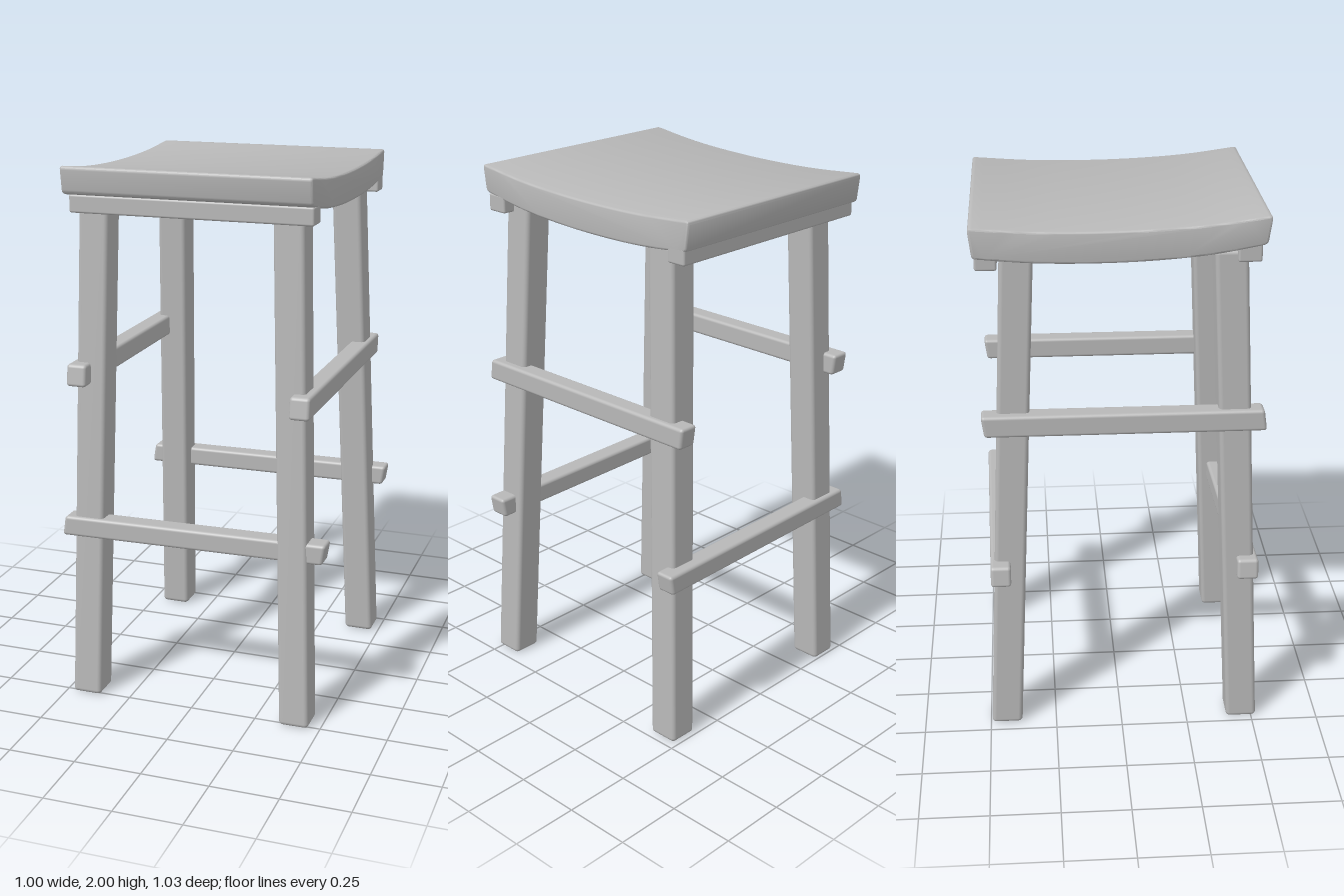
import * as THREE from 'three';
import { RoundedBoxGeometry } from 'three/addons/geometries/RoundedBoxGeometry.js';
import { toCreasedNormals } from 'three/addons/utils/BufferGeometryUtils.js';

const V = (x, y, z) => new THREE.Vector3(x, y, z);

export function createModel() {
  const group = new THREE.Group();
  const grey = new THREE.MeshStandardMaterial({ color: 0xb8b8b8 });
  grey.name = 'plain grey';

  function add(name, geometry) {
    const mesh = new THREE.Mesh(geometry, grey);
    mesh.name = name;
    group.add(mesh);
  }

  // Rounded bar between two points along one main axis; the box is sheared so
  // its section keeps facing the world axes. lean slants the ends of level bars.
  function bar(name, axis, a, b, s, t, lean = 0, radius = 0.012) {
    const span = b.clone().sub(a);
    const length = span[axis];
    const size = { x: [length, s, t], y: [s, length, t], z: [s, t, length] }[axis];
    const basis = { x: V(1, 0, 0), y: V(0, 1, 0), z: V(0, 0, 1) };
    basis[axis] = span.divideScalar(length);
    if (axis !== 'y') basis.y[axis] = lean;
    const shear = new THREE.Matrix4().makeBasis(basis.x, basis.y, basis.z);
    shear.setPosition(a.clone().add(b).multiplyScalar(0.5));
    add(name, new RoundedBoxGeometry(...size, 3, radius).applyMatrix4(shear));
  }

  // Dished seat: curved side profile (z, y) extruded across the width
  const top = new THREE.SplineCurve([[0.485, 1.997], [0.3, 1.973], [0.1, 1.96], [-0.1, 1.956], [-0.3, 1.96], [-0.497, 1.974]]
    .map(p => new THREE.Vector2(...p))).getPoints(24);
  const under = new THREE.SplineCurve([[-0.488, 1.867], [-0.3, 1.85], [-0.1, 1.845], [0.1, 1.85], [0.3, 1.867], [0.472, 1.897]]
    .map(p => new THREE.Vector2(...p))).getPoints(24);
  const profile = new THREE.Shape();
  profile.moveTo(top[0].x, top[0].y);
  top.slice(1).forEach(p => profile.lineTo(p.x, p.y));
  profile.quadraticCurveTo(-0.513, 1.976, -0.512, 1.961);
  profile.lineTo(-0.502, 1.88);
  profile.quadraticCurveTo(-0.5, 1.868, under[0].x, under[0].y);
  under.slice(1).forEach(p => profile.lineTo(p.x, p.y));
  profile.quadraticCurveTo(0.487, 1.9, 0.489, 1.914);
  profile.lineTo(0.499, 1.984);
  profile.quadraticCurveTo(0.501, 2, top[0].x, top[0].y);
  const width = 0.91, bevel = 0.008;
  const seat = new THREE.ExtrudeGeometry(profile, {
    depth: width - 2 * bevel, bevelEnabled: true, bevelThickness: bevel,
    bevelSize: bevel, bevelOffset: -bevel, bevelSegments: 3, curveSegments: 4,
  });
  seat.translate(0, 0, -width / 2 + bevel).rotateY(-Math.PI / 2).translate(-0.015, 0, 0);
  add('seat', toCreasedNormals(seat, 0.7));

  // Battens under the front and back edges of the seat
  bar('frontBatten', 'x', V(-0.45, 1.865, 0.432), V(0.44, 1.865, 0.432), 0.065, 0.082, 0, 0.008);
  bar('backBatten', 'x', V(-0.45, 1.85, -0.457), V(0.44, 1.85, -0.457), 0.06, 0.076, 0, 0.008);

  // Splayed legs: floor point, then point under the seat
  const legs = {
    frontRightLeg: [V(-0.418, 0, 0.461), V(-0.377, 1.87, 0.372)],
    frontLeftLeg: [V(0.402, 0, 0.463), V(0.337, 1.87, 0.372)],
    backRightLeg: [V(-0.402, 0, -0.438), V(-0.367, 1.86, -0.355)],
    backLeftLeg: [V(0.418, 0, -0.427), V(0.345, 1.86, -0.349)],
  };
  for (const [name, [foot, head]] of Object.entries(legs)) bar(name, 'y', foot, head, 0.112, 0.115, 0, 0.016);

  // Low stretchers across front and back, higher ones along the sides
  bar('frontStretcher', 'x', V(-0.5, 0.667, 0.461), V(0.495, 0.667, 0.441), 0.076, 0.078, 0.16);
  bar('backStretcher', 'x', V(-0.5, 0.667, -0.442), V(0.495, 0.667, -0.46), 0.076, 0.074, 0.16);
  bar('rightStretcher', 'z', V(-0.428, 1.251, -0.488), V(-0.428, 1.251, 0.508), 0.075, 0.08, -0.14);
  bar('leftStretcher', 'z', V(0.406, 1.207, -0.488), V(0.406, 1.207, 0.508), 0.074, 0.08, -0.14);

  return group;
}
